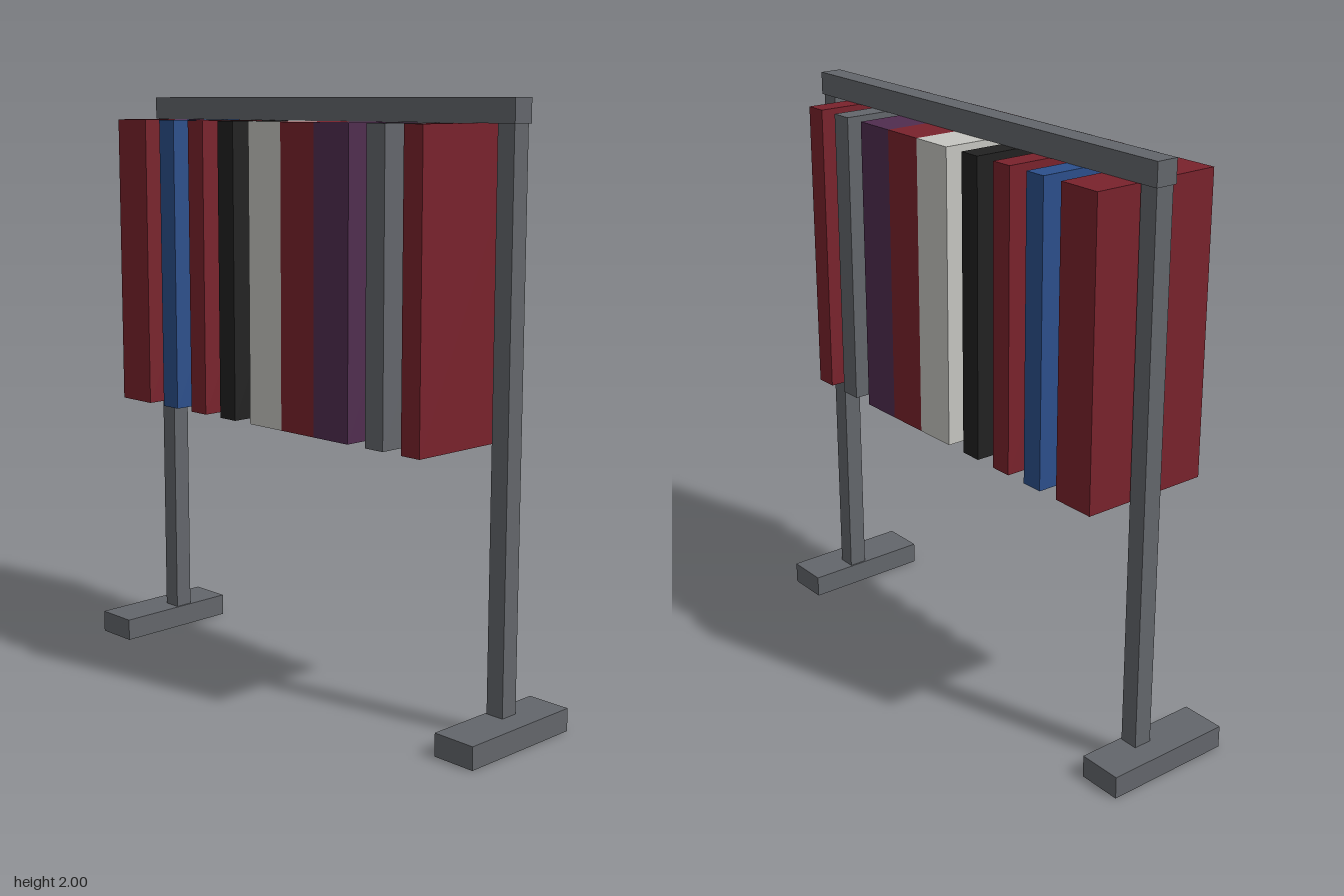
import * as THREE from 'three';

const U = 1 / 13; // grid unit: the rack is 26 units tall

function material(name, color) {
  const m = new THREE.MeshStandardMaterial({ color });
  m.name = name;
  return m;
}

export function createModel() {
  const rack = new THREE.Group();
  rack.name = 'clothesRack';

  const grey = material('grey', 0x63666b);
  const red = material('darkRed', 0x79222c);
  const blue = material('blue', 0x2c4f8b);
  const black = material('black', 0x212121);
  const white = material('offWhite', 0xc6c6c1);
  const purple = material('purple', 0x502d4f);

  // Box between two corners, given in grid units
  function box(name, mat, [x0, y0, z0], [x1, y1, z1]) {
    const geometry = new THREE.BoxGeometry((x1 - x0) * U, (y1 - y0) * U, (z1 - z0) * U);
    const mesh = new THREE.Mesh(geometry, mat);
    mesh.position.set((x0 + x1) / 2 * U, (y0 + y1) / 2 * U, (z0 + z1) / 2 * U);
    mesh.name = name;
    rack.add(mesh);
  }

  // Feet and slightly slimmer posts on both sides
  const inset = 0.08;
  for (const [side, x] of [['right', -11], ['left', 10]]) {
    const footStart = side === 'right' ? -12 : 10;
    box(side + 'Foot', grey, [footStart, 0, -3], [footStart + 2, 1, 3]);
    box(side + 'Post', grey, [x + inset, 1, -1 + inset], [x + 1 - inset, 25, -inset]);
  }

  // Hanging rail
  box('rail', grey, [-11, 25, -1], [11, 26, 0]);

  // Garments: start, end, material
  const garments = [
    [-10, -8, red], [-7, -6, blue], [-5, -4, red], [-3, -2, black], [-1, 1, white],
    [1, 3, red], [3, 5, purple], [6, 7, grey], [8, 9, red],
  ];
  garments.forEach(([x0, x1, mat], i) =>
    box('garment' + (i + 1), mat, [x0, 12, -3], [x1, 25, 3]));

  return rack;
}
